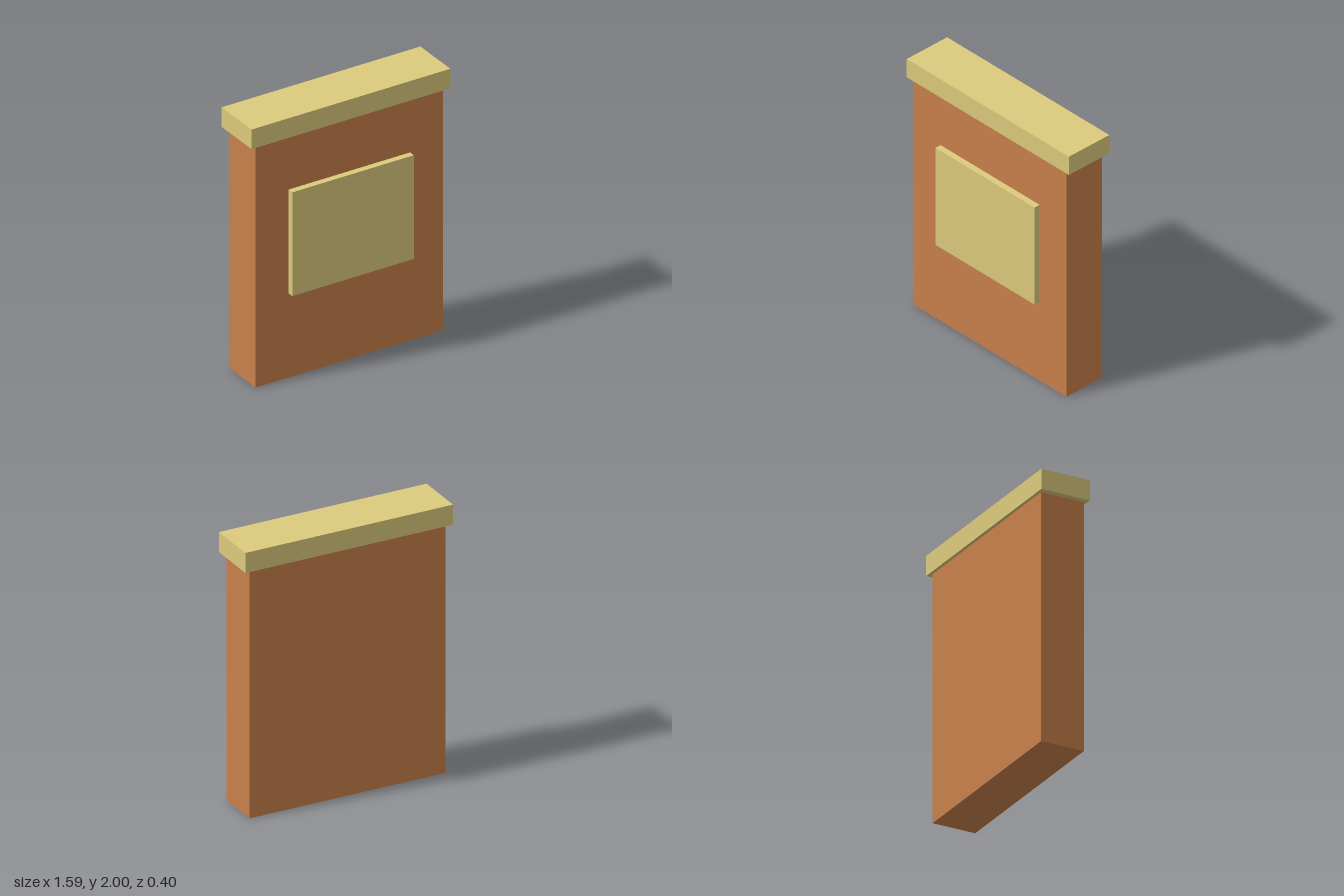
import * as THREE from 'three';

// Adds a box given its [min, max] extents on each axis.
function addBox(group, name, material, [x0, x1], [y0, y1], [z0, z1]) {
  const mesh = new THREE.Mesh(new THREE.BoxGeometry(x1 - x0, y1 - y0, z1 - z0), material);
  mesh.position.set((x0 + x1) / 2, (y0 + y1) / 2, (z0 + z1) / 2);
  mesh.name = name;
  group.add(mesh);
}

export function createModel() {
  const group = new THREE.Group();
  group.name = 'wallWithPlaque';

  const brick = new THREE.MeshStandardMaterial({ color: 0xc8804b });
  const stone = new THREE.MeshStandardMaterial({ color: 0xdcca7c });

  // Upright slab
  addBox(group, 'wall', brick, [-0.75, 0.75], [0, 1.85], [-0.176, 0.153]);
  // Overhanging coping on top
  addBox(group, 'coping', stone, [-0.795, 0.795], [1.85, 2], [-0.2, 0.174]);
  // Raised plaque on the front face
  addBox(group, 'plaque', stone, [-0.486, 0.486], [0.645, 1.44], [0.153, 0.2]);

  return group;
}
